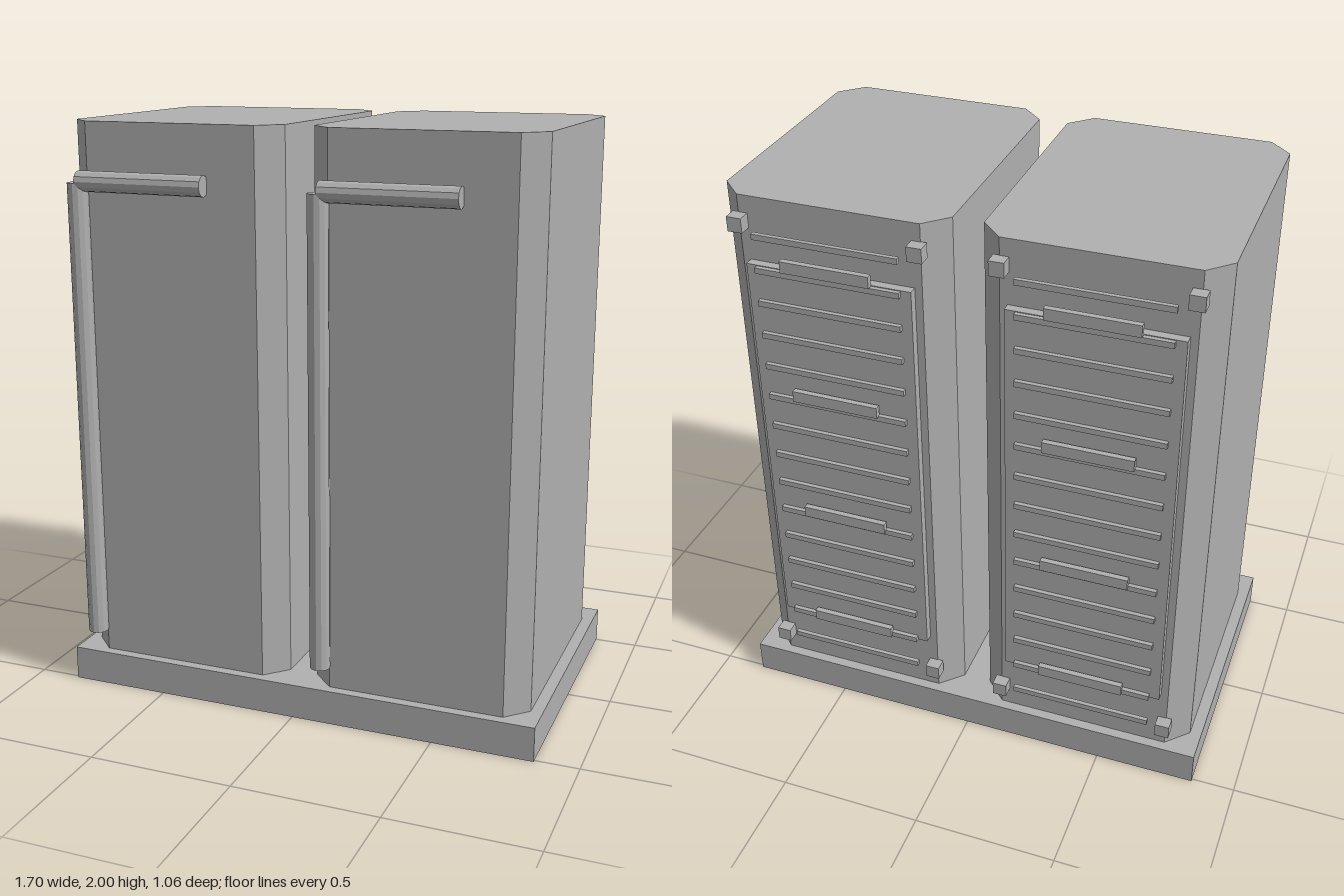
import * as THREE from 'three';

export function createModel() {
  const model = new THREE.Group();
  model.name = 'twinCabinets';
  const grey = new THREE.MeshStandardMaterial({ color: 0xb0b0b0, flatShading: true });
  grey.name = 'grey';

  const add = (parent, name, geometry, x, y, z) => {
    const mesh = new THREE.Mesh(geometry, grey);
    mesh.name = name;
    mesh.position.set(x, y, z);
    parent.add(mesh);
    return mesh;
  };
  const box = (parent, name, w, h, d, x, y, z) =>
    add(parent, name, new THREE.BoxGeometry(w, h, d), x, y, z);

  // Shared plinth
  box(model, 'base', 1.7, 0.12, 1.02, 0, 0.06, 0);

  // Cabinet outline with chamfered upright corners
  const hw = 0.38, hd = 0.475, c = 0.075;
  const outline = new THREE.Shape([
    [-hw + c, -hd], [hw - c, -hd], [hw, -hd + c], [hw, hd - c],
    [hw - c, hd], [-hw + c, hd], [-hw, hd - c], [-hw, -hd + c],
  ].map(([x, y]) => new THREE.Vector2(x, y)));
  const bodyGeometry = new THREE.ExtrudeGeometry(outline, { depth: 1.88, bevelEnabled: false });
  bodyGeometry.rotateX(-Math.PI / 2);

  for (const side of [-1, 1]) {
    const cabinet = new THREE.Group();
    cabinet.name = side < 0 ? 'rightCabinet' : 'leftCabinet';
    cabinet.position.x = side * 0.43;
    model.add(cabinet);
    add(cabinet, 'body', bodyGeometry, 0, 0.12, 0);

    // Front pipes: one upright, one level
    add(cabinet, 'uprightPipe', new THREE.CylinderGeometry(0.035, 0.035, 1.6, 12), -0.33, 1.0, 0.497);
    add(cabinet, 'levelPipe', new THREE.CylinderGeometry(0.035, 0.035, 0.46, 12), -0.095, 1.805, 0.497)
      .rotation.z = Math.PI / 2;

    // Back panel with vent slats and raised plates
    box(cabinet, 'backPanel', 0.56, 1.43, 0.03, 0, 1.065, -0.49);
    for (let i = 0; i < 15; i++) {
      box(cabinet, 'ventSlat', 0.49, 0.02, 0.015, 0, 0.24 + i * 0.1175, -0.5125);
    }
    for (let i = 0; i < 4; i++) {
      box(cabinet, 'raisedPlate', 0.3, 0.04, 0.02, 0, 0.37 + i * 0.477, -0.52);
    }

    // Corner blocks on the back
    for (const x of [-0.3, 0.3]) {
      for (const y of [0.215, 1.915]) {
        box(cabinet, 'cornerBlock', 0.05, 0.05, 0.045, x, y, -0.4955);
      }
    }
  }
  return model;
}
